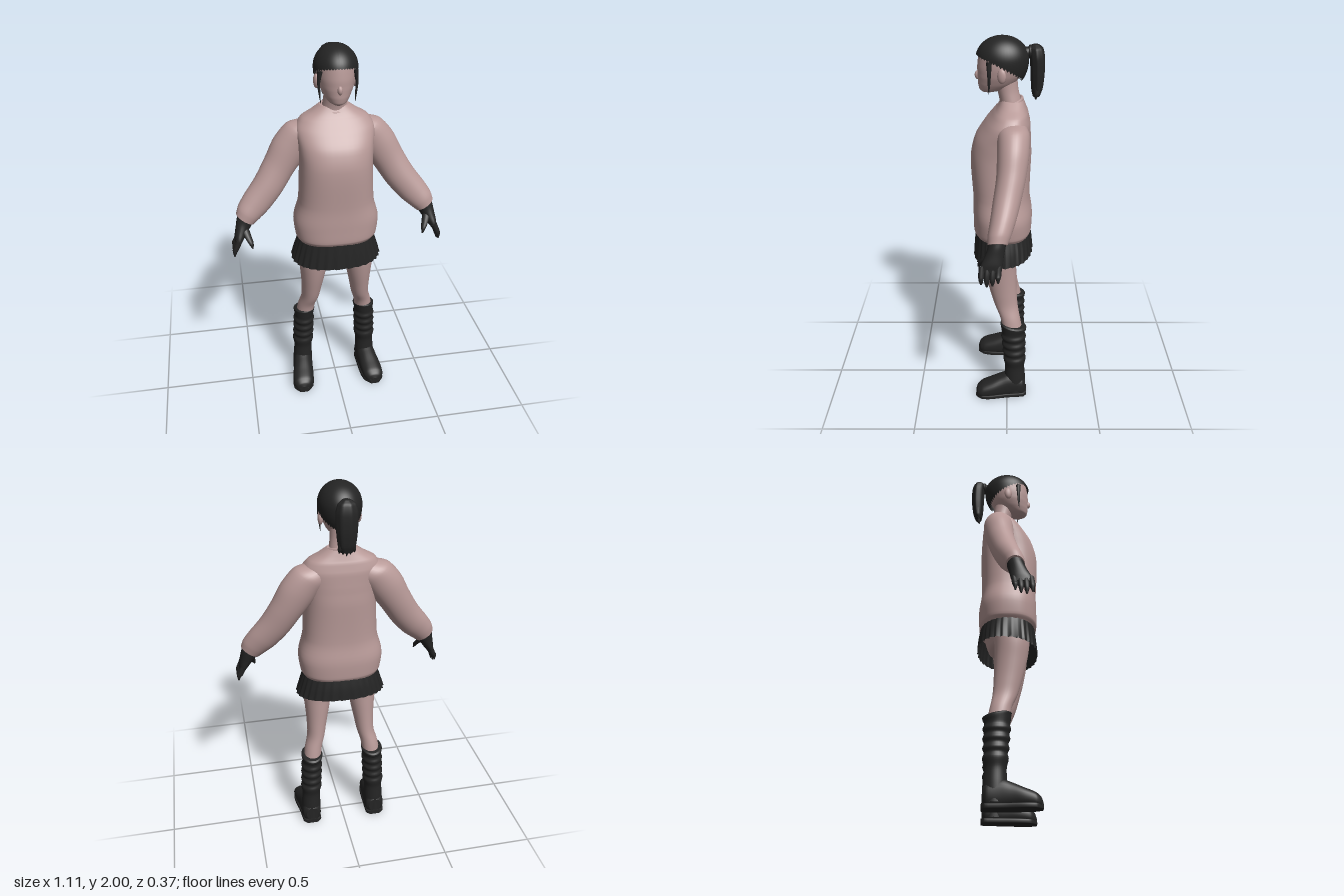
import * as THREE from 'three';

const rose = new THREE.MeshStandardMaterial({ color: 0xb89a98 });
rose.name = 'dustyRose';
const black = new THREE.MeshStandardMaterial({ color: 0x242424, side: THREE.DoubleSide });
black.name = 'charcoal';

const X = [1, 0, 0], Y = [0, 1, 0], Z = [0, 0, 1];

// Smooth skin over cross-sections [x, y, z, radiusU, radiusV] lying in the plane of u and v
function loft(rows, u, v, { power = 2, segs = 28, steps = 5, caps = true, shape = null } = {}) {
  const U = new THREE.Vector3(...u).normalize(), V = new THREE.Vector3(...v).normalize();
  const centres = new THREE.CatmullRomCurve3(rows.map(r => new THREE.Vector3(r[0], r[1], r[2])));
  const radii = new THREE.CatmullRomCurve3(rows.map(r => new THREE.Vector3(r[3], r[4], 0)));
  const n = (rows.length - 1) * steps, pos = [], idx = [];
  const soft = c => Math.sign(c) * Math.abs(c) ** (2 / power);
  for (let i = 0; i <= n; i++) {
    const c = centres.getPoint(i / n), r = radii.getPoint(i / n);
    for (let j = 0; j < segs; j++) {
      const a = j / segs * Math.PI * 2, k = shape ? shape(j, i / n) : 1;
      const p = c.clone().addScaledVector(U, r.x * k * soft(Math.cos(a)))
        .addScaledVector(V, r.y * k * soft(Math.sin(a)));
      pos.push(p.x, p.y, p.z);
    }
  }
  const along = centres.getPoint(1).sub(centres.getPoint(0));
  const flip = along.dot(U.clone().cross(V)) < 0;
  const tri = (a, b, c) => flip ? idx.push(a, c, b) : idx.push(a, b, c);
  for (let i = 0; i < n; i++) for (let j = 0; j < segs; j++) {
    const a = i * segs + j, b = i * segs + (j + 1) % segs;
    tri(a, b, b + segs);
    tri(a, b + segs, a + segs);
  }
  if (caps) for (const end of [0, n]) {
    const base = pos.length / 3, c = centres.getPoint(end / n);
    for (let j = 0; j < segs * 3; j++) pos.push(pos[end * segs * 3 + j]);
    pos.push(c.x, c.y, c.z);
    for (let j = 0; j < segs; j++) {
      const a = base + j, b = base + (j + 1) % segs;
      end ? tri(a, b, base + segs) : tri(b, a, base + segs);
    }
  }
  const g = new THREE.BufferGeometry();
  g.setAttribute('position', new THREE.Float32BufferAttribute(pos, 3));
  g.setIndex(idx);
  g.computeVertexNormals();
  return g;
}

// Move every vertex by a rule and refresh the normals
function reshape(g, rule) {
  const p = g.attributes.position, w = new THREE.Vector3();
  for (let i = 0; i < p.count; i++) {
    rule(w.fromBufferAttribute(p, i), i);
    p.setXYZ(i, w.x, w.y, w.z);
  }
  g.computeVertexNormals();
  return g;
}

export function createModel() {
  const model = new THREE.Group();
  const add = (name, geometry, material, parent = model) => {
    const m = new THREE.Mesh(geometry, material);
    m.name = name;
    parent.add(m);
    return m;
  };

  // Head and neck
  add('head', loft([
    [0, 1.728, 0.09, 0.022, 0.03], [0, 1.74, 0.075, 0.046, 0.06], [0, 1.77, 0.052, 0.067, 0.09],
    [0, 1.81, 0.038, 0.084, 0.106], [0, 1.86, 0.03, 0.092, 0.114], [0, 1.92, 0.028, 0.09, 0.108],
    [0, 1.96, 0.025, 0.065, 0.08], [0, 1.982, 0.025, 0.025, 0.03]], X, Z, { segs: 36 }), rose);
  add('neck', loft([
    [0, 1.62, -0.025, 0.08, 0.06], [0, 1.68, -0.018, 0.062, 0.054], [0, 1.74, -0.004, 0.055, 0.053],
    [0, 1.82, 0.01, 0.055, 0.06]], X, Z), rose);
  const nose = add('nose', new THREE.SphereGeometry(1, 14, 10), rose);
  nose.scale.set(0.013, 0.022, 0.016);
  nose.position.set(0, 1.81, 0.142);

  // Hair cap, trimmed along a hairline that drops from forehead to nape
  const cap = new THREE.SphereGeometry(1, 48, 24), uv = cap.attributes.uv;
  reshape(cap, (w, i) => {
    const az = uv.getX(i) * Math.PI * 2, f = Math.cos(az), t = 1 - uv.getY(i);
    const th = t * Math.acos(-0.19 + 0.435 * f - 0.065 * f * f), c = Math.cos(th);
    w.set(0.108 * Math.sin(th) * Math.sin(az), 1.89 + c * (c > 0 ? 0.11 : 0.16),
      0.022 + 0.13 * Math.sin(th) * f);
  });
  add('hairCap', cap, black);

  // Ponytail with its tie and loose ends
  const tail = new THREE.Group();
  tail.name = 'ponytail';
  model.add(tail);
  add('ponytailRoot', loft([
    [0, 1.915, -0.085, 0.03, 0.03], [0, 1.922, -0.115, 0.026, 0.026], [0, 1.918, -0.15, 0.04, 0.032]], X, Y), black, tail);
  add('ponytailLength', loft([
    [0, 1.957, -0.138, 0.018, 0.016], [0, 1.94, -0.142, 0.042, 0.032], [0, 1.89, -0.148, 0.053, 0.036],
    [0, 1.81, -0.15, 0.05, 0.034], [0, 1.74, -0.148, 0.042, 0.028], [0, 1.705, -0.145, 0.028, 0.018]],
    X, Z, { shape: j => 1 + 0.05 * Math.cos(j * Math.PI / 2) }), black, tail);
  for (let i = -2; i <= 2; i++) {
    const x = i * 0.014, low = 1.685 + 0.008 * Math.abs(i);
    add('ponytailStrand', loft([
      [x, 1.77, -0.148, 0.015, 0.018], [x * 1.2, 1.72, -0.147, 0.011, 0.014],
      [x * 1.3, low, -0.142, 0.002, 0.003]], X, Z, { segs: 8 }), black, tail);
  }
  const tie = add('hairTie', new THREE.TorusGeometry(0.025, 0.009, 8, 20), black, tail);
  tie.position.set(0, 1.922, -0.113);

  // Sweater body and collar
  add('sweaterBody', loft([
    [0, 0.972, 0.022, 0.2, 0.142], [0, 0.995, 0.023, 0.215, 0.153], [0, 1.08, 0.022, 0.224, 0.155],
    [0, 1.2, 0.029, 0.196, 0.148], [0, 1.4, 0.03, 0.187, 0.155], [0, 1.5, 0.019, 0.192, 0.141],
    [0, 1.58, -0.006, 0.2, 0.111], [0, 1.63, -0.02, 0.17, 0.085], [0, 1.66, -0.025, 0.118, 0.068],
    [0, 1.69, -0.028, 0.073, 0.055]], X, Z, { power: 2.5, segs: 48 }), rose);
  const collar = add('sweaterCollar', new THREE.TorusGeometry(0.068, 0.009, 8, 36), rose);
  collar.scale.set(1.05, 0.85, 1);
  collar.rotation.x = Math.PI / 2 + 0.3;
  collar.position.set(0, 1.677, -0.02);

  // Pleated skirt, hanging lower at the front
  const pleat = (j, t) => 1 + (0.01 + 0.03 * t) * ((j % 5) / 4 - 0.6);
  const skirt = loft([[0, 0.99, 0.022, 0.198, 0.143], [0, 0.92, 0.02, 0.22, 0.152], [0, 0.85, 0.02, 0.24, 0.158]],
    X, Z, { segs: 150, caps: false, power: 2.3, shape: pleat });
  reshape(skirt, w => { w.y -= (w.z - 0.02) * 0.09 * (0.99 - w.y) / 0.14; });
  add('skirt', skirt, black);
  add('hips', loft([[0, 0.84, 0.02, 0.04, 0.05], [0, 0.87, 0.02, 0.14, 0.1], [0, 0.97, 0.02, 0.185, 0.13]],
    X, Z), rose);

  for (const s of [1, -1]) {
    const side = s > 0 ? 'left' : 'right';
    const mir = rows => rows.map(([x, ...rest]) => [x * s, ...rest]);

    // Ear and side lock
    const ear = add(side + 'Ear', new THREE.SphereGeometry(1, 14, 10), rose);
    ear.scale.set(0.014, 0.036, 0.022);
    ear.position.set(s * 0.094, 1.825, 0.025);
    ear.rotation.y = s * -0.3;
    add(side + 'SideLock', loft(mir([
      [0.084, 1.89, 0.085, 0.014, 0.014], [0.092, 1.83, 0.085, 0.007, 0.009],
      [0.088, 1.78, 0.086, 0.005, 0.006], [0.084, 1.735, 0.088, 0.001, 0.001]]), X, Z, { segs: 8 }), black);

    // Sleeve
    add(side + 'Sleeve', loft(mir([
      [0.11, 1.575, -0.03, 0.07, 0.07], [0.165, 1.545, -0.032, 0.09, 0.08], [0.225, 1.475, -0.03, 0.093, 0.078],
      [0.285, 1.38, -0.02, 0.084, 0.072], [0.345, 1.285, 0.0, 0.08, 0.068], [0.41, 1.205, 0.02, 0.076, 0.062],
      [0.455, 1.155, 0.036, 0.066, 0.056], [0.478, 1.122, 0.044, 0.054, 0.048]]),
      [s * 0.82, 0.57, 0], Z, { segs: 32 }), rose);

    // Glove: palm, four fingers and thumb
    const glove = new THREE.Group();
    glove.name = side + 'Glove';
    model.add(glove);
    const across = [s * 0.87, 0.5, 0];
    add('palm', loft(mir([
      [0.468, 1.142, 0.044, 0.046, 0.044], [0.485, 1.105, 0.05, 0.042, 0.043], [0.5, 1.07, 0.06, 0.034, 0.046],
      [0.517, 1.03, 0.072, 0.025, 0.052], [0.528, 1.0, 0.077, 0.014, 0.046]]), across, Z), black, glove);
    for (let f = 0; f < 4; f++) {
      const z = 0.037 + f * 0.027, drop = [0.02, 0.005, 0, 0.012][f];
      add('finger', loft(mir([
        [0.518, 1.03, z, 0.016, 0.015], [0.536, 0.99, z + 0.003, 0.0145, 0.0145],
        [0.545, 0.958 + drop, z + 0.004, 0.012, 0.012], [0.547, 0.932 + drop, z + 0.004, 0.004, 0.004]]),
        across, Z, { segs: 12 }), black, glove);
    }
    add('thumb', loft(mir([
      [0.488, 1.085, 0.07, 0.022, 0.022], [0.474, 1.05, 0.1, 0.019, 0.02], [0.46, 1.02, 0.124, 0.014, 0.015],
      [0.452, 0.992, 0.136, 0.004, 0.005]]), X, Z, { segs: 14 }), black, glove);

    // Leg
    add(side + 'Leg', loft(mir([
      [0.115, 0.96, 0.03, 0.09, 0.1], [0.124, 0.85, 0.04, 0.082, 0.09], [0.128, 0.75, 0.032, 0.069, 0.082],
      [0.135, 0.65, 0.018, 0.056, 0.071], [0.143, 0.57, 0.003, 0.049, 0.062], [0.162, 0.5, -0.018, 0.048, 0.054],
      [0.174, 0.42, -0.032, 0.05, 0.054]]), X, Z), rose);

    // Boot: slouched shaft, foot and sole
    const boot = new THREE.Group();
    boot.name = side + 'Boot';
    model.add(boot);
    const shaft = [[0.174, 0.462, -0.035, 0.052, 0.064], [0.175, 0.455, -0.036, 0.06, 0.072]];
    for (let i = 0; i < 8; i++) {
      const bulge = i % 2 ? 0.004 : -0.003;
      shaft.push([0.177 + i * 0.001, 0.41 - i * 0.024, -0.036 - i * 0.001, 0.056 + bulge, 0.066 - i * 0.001 + bulge]);
    }
    shaft.push([0.186, 0.19, -0.044, 0.051, 0.054], [0.188, 0.12, -0.045, 0.054, 0.058], [0.19, 0.03, -0.045, 0.056, 0.062]);
    add('bootShaft', reshape(loft(mir(shaft), X, Z, { segs: 32 }), w => {
      if (w.y > 0.43) w.y += (w.z + 0.035) * 0.18;
    }), black, boot);
    add('bootFoot', reshape(loft(mir([
      [0.189, 0.06, -0.104, 0.035, 0.045], [0.19, 0.06, -0.085, 0.052, 0.065], [0.192, 0.065, -0.02, 0.056, 0.08],
      [0.197, 0.06, 0.03, 0.057, 0.068], [0.204, 0.05, 0.09, 0.06, 0.052], [0.209, 0.04, 0.14, 0.056, 0.041],
      [0.211, 0.032, 0.166, 0.038, 0.028], [0.212, 0.028, 0.175, 0.012, 0.01]]), X, Y, { power: 2.3, segs: 32 }),
      w => { w.y = Math.max(w.y, 0.012); }), black, boot);
    add('bootSole', loft(mir([
      [0.189, 0.013, -0.11, 0.034, 0.013], [0.19, 0.013, -0.09, 0.053, 0.013], [0.195, 0.013, 0.0, 0.056, 0.013],
      [0.204, 0.013, 0.09, 0.062, 0.013], [0.209, 0.013, 0.14, 0.056, 0.013], [0.211, 0.013, 0.176, 0.025, 0.013]]),
      X, Y, { power: 6, segs: 24 }), black, boot);
  }
  return model;
}
